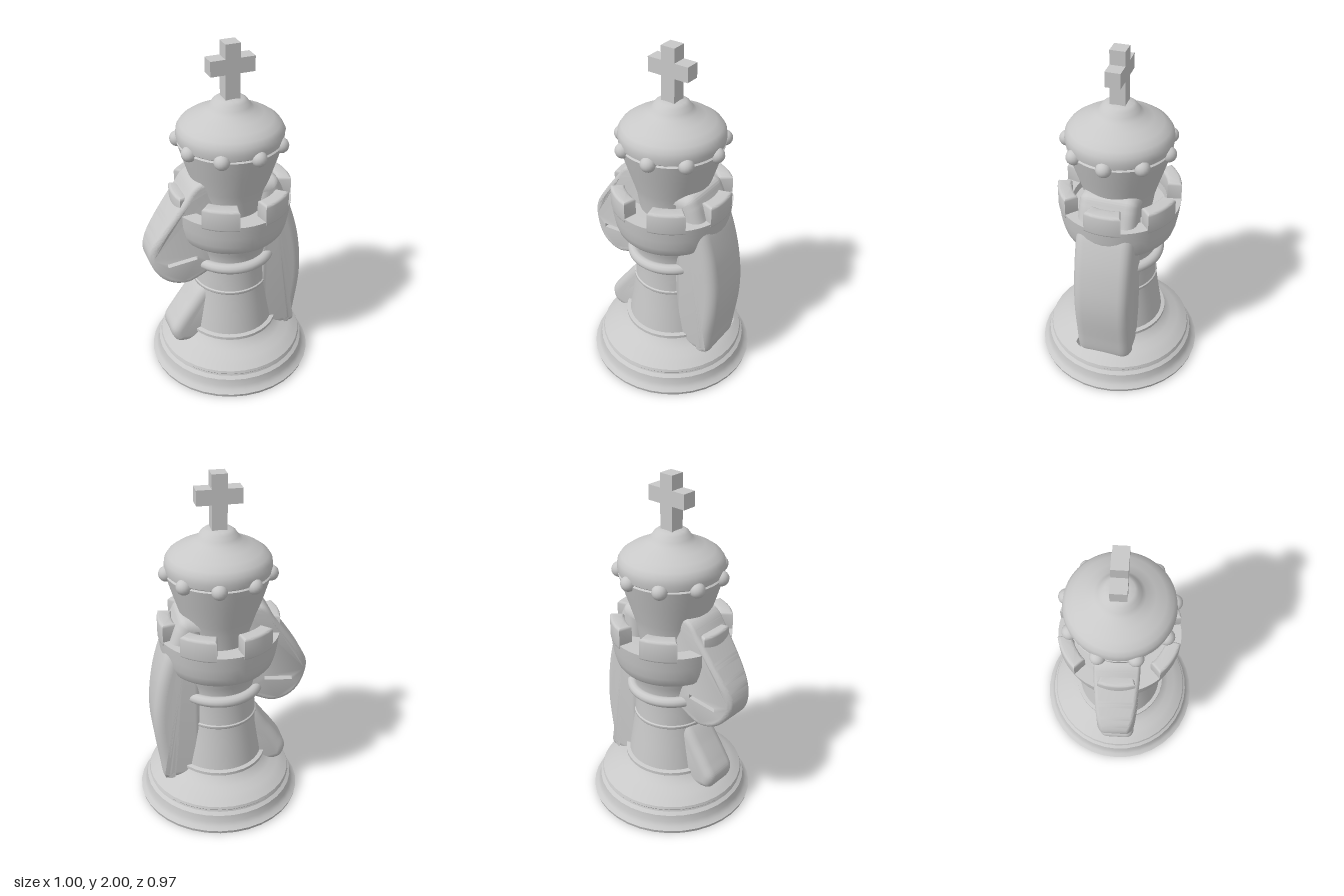
import * as THREE from 'three';
import { toCreasedNormals } from 'three/addons/utils/BufferGeometryUtils.js';

const stone = new THREE.MeshStandardMaterial({ color: 0xc8c8c8 });
stone.name = 'pale grey';

const AXIS_X = 0.01;
const vectors = (points) => points.map(([x, y]) => new THREE.Vector2(x, y));

function addPart(parent, name, geometry, x = 0, y = 0, z = 0) {
  const mesh = new THREE.Mesh(geometry, stone);
  mesh.name = name;
  mesh.position.set(x, y, z);
  parent.add(mesh);
  return mesh;
}

// Turned part, profile from bottom to top
function turned(points, segments = 48) {
  return toCreasedNormals(new THREE.LatheGeometry(vectors(points), segments), 0.6);
}

// Side silhouette: smooth curve through the outer points, closed by a straight line
function silhouette(points) {
  const shape = new THREE.Shape();
  shape.moveTo(...points[0]);
  shape.splineThru(vectors(points.slice(1)));
  return shape;
}

// Rounded slab with the silhouette as its widest outline, centred on z = 0
function slab(shape, halfWidth, round) {
  const geometry = new THREE.ExtrudeGeometry(shape, {
    depth: 2 * (halfWidth - round), curveSegments: 28, steps: 1,
    bevelThickness: round, bevelSize: round, bevelOffset: -round, bevelSegments: 5,
  });
  return geometry.translate(0, 0, -(halfWidth - round));
}

function muzzleGeometry() {
  const shape = silhouette([
    [-0.08, 1.29], [-0.22, 1.27], [-0.3, 1.175], [-0.42, 1.01], [-0.487, 0.9], [-0.498, 0.82],
    [-0.462, 0.73], [-0.4, 0.67], [-0.32, 0.645], [-0.24, 0.66], [-0.1, 0.73],
  ]);
  // Mouth slot cut right through
  const corners = [[-0.405, 0.775], [-0.235, 0.8], [-0.235, 0.825], [-0.405, 0.8]];
  shape.holes.push(new THREE.Path(vectors(corners)));
  const geometry = slab(shape, 0.125, 0.025);
  const p = geometry.attributes.position;
  const aboveSlot = (x, y) => y - 0.8 - (x + 0.32) * 0.147;
  for (let i = 0; i < p.count; i++) {
    let x = p.getX(i), y = p.getY(i);
    // Keep the slot straight where the rounding widened it
    const dy = aboveSlot(x, y);
    if (x > -0.436 && x < -0.205 && Math.abs(dy) < 0.045) {
      [x, y] = corners.find(([cx, cy]) => (cx > -0.32) === (x > -0.32) && (aboveSlot(cx, cy) > 0) === (dy > 0));
    }
    // Narrow towards the nose
    const t = THREE.MathUtils.clamp((-0.28 - x) / 0.22, 0, 1);
    p.setXYZ(i, x, y, p.getZ(i) * (1 - 0.16 * t - 0.22 * t ** 5));
  }
  return toCreasedNormals(geometry, 0.6);
}

// Curved block standing on the tower rim
function merlonGeometry(inner, outer, halfAngle, height) {
  const shape = new THREE.Shape();
  shape.absarc(0, 0, outer, -halfAngle, halfAngle, false);
  shape.absarc(0, 0, inner, halfAngle, -halfAngle, true);
  const r = 0.015;
  const geometry = new THREE.ExtrudeGeometry(shape, {
    depth: height - 2 * r, curveSegments: 10,
    bevelThickness: r, bevelSize: r, bevelOffset: -r, bevelSegments: 3,
  });
  return toCreasedNormals(geometry.rotateX(-Math.PI / 2).translate(0, r, 0), 0.6);
}

export function createModel() {
  const model = new THREE.Group();
  model.name = 'chessPiece';
  const body = new THREE.Group();
  body.name = 'turnedBody';
  body.position.x = AXIS_X;
  model.add(body);

  // Stepped foot
  addPart(body, 'base', turned([
    [0, 0], [0.482, 0], [0.487, 0.02], [0.465, 0.035], [0.453, 0.06], [0.446, 0.1], [0.427, 0.115],
    [0.424, 0.125], [0.432, 0.135], [0.427, 0.15], [0.4, 0.17], [0.365, 0.192], [0.32, 0.212],
    [0.288, 0.235], [0.272, 0.255], [0.28, 0.262], [0.28, 0.28], [0.255, 0.287], [0, 0.287],
  ], 36));

  // Waisted column
  addPart(body, 'column', turned([
    [0.258, 0.28], [0.25, 0.34], [0.238, 0.42], [0.227, 0.5], [0.22, 0.555], [0.223, 0.56],
    [0.223, 0.572], [0.216, 0.577], [0.212, 0.65], [0.211, 0.72], [0.212, 0.78], [0.224, 0.83], [0.238, 0.87], [0.252, 0.92],
  ]));
  const ring = addPart(body, 'collarRing', new THREE.TorusGeometry(0.229, 0.031, 12, 48), 0, 0.75);
  ring.rotation.x = Math.PI / 2;

  // Tower bowl with hollow top
  addPart(body, 'tower', turned([
    [0.23, 0.885], [0.26, 0.89], [0.296, 0.9], [0.312, 0.92], [0.325, 0.96], [0.336, 1.02], [0.345, 1.1],
    [0.265, 1.1], [0.26, 1.06], [0, 1.05],
  ]));
  const merlon = merlonGeometry(0.265, 0.345, THREE.MathUtils.degToRad(17.5), 0.13);
  for (let i = 0; i < 6; i++) {
    addPart(body, 'merlon', merlon, 0, 1.07).rotation.y = i * Math.PI / 3;
  }

  // Flared crown and domed cap
  addPart(body, 'crown', turned([
    [0.18, 1.04], [0.198, 1.15], [0.215, 1.21], [0.25, 1.32], [0.283, 1.43], [0.29, 1.455], [0.28, 1.462],
    [0.29, 1.47], [0.295, 1.5], [0.29, 1.535], [0.272, 1.562], [0.235, 1.588], [0.18, 1.615],
    [0.13, 1.64], [0.11, 1.66], [0.093, 1.685], [0.075, 1.698], [0.04, 1.703], [0, 1.704],
  ]));
  const bead = new THREE.SphereGeometry(0.043, 16, 12);
  for (let i = 0; i < 9; i++) {
    const a = i * Math.PI * 2 / 9;
    addPart(body, 'crownBead', bead, 0.285 * Math.cos(a), 1.462, 0.285 * Math.sin(a));
  }

  // Cross on top
  addPart(body, 'crossUpright', new THREE.BoxGeometry(0.083, 0.32, 0.083), 0, 1.84);
  for (const side of [-1, 1]) {
    addPart(body, 'crossArm', new THREE.BoxGeometry(0.082, 0.083, 0.083), side * 0.0825, 1.88);
  }

  // Animal muzzle and chest on the right, mane on the left
  addPart(model, 'muzzle', muzzleGeometry());
  addPart(model, 'chest', toCreasedNormals(slab(silhouette([
    [-0.1, 0.63], [-0.2, 0.56], [-0.285, 0.45], [-0.35, 0.36], [-0.39, 0.29], [-0.38, 0.225], [-0.34, 0.19], [-0.2, 0.17], [-0.1, 0.17],
  ]), 0.11, 0.05), 0.6));
  addPart(model, 'mane', toCreasedNormals(slab(silhouette([
    [0.12, 0.18], [0.33, 0.176], [0.368, 0.19], [0.39, 0.33], [0.41, 0.48], [0.415, 0.6], [0.406, 0.72],
    [0.382, 0.86], [0.342, 1.0], [0.3, 1.1], [0.265, 1.19], [0.225, 1.24], [0.12, 1.24],
  ]), 0.165, 0.06), 0.6));

  return model;
}
